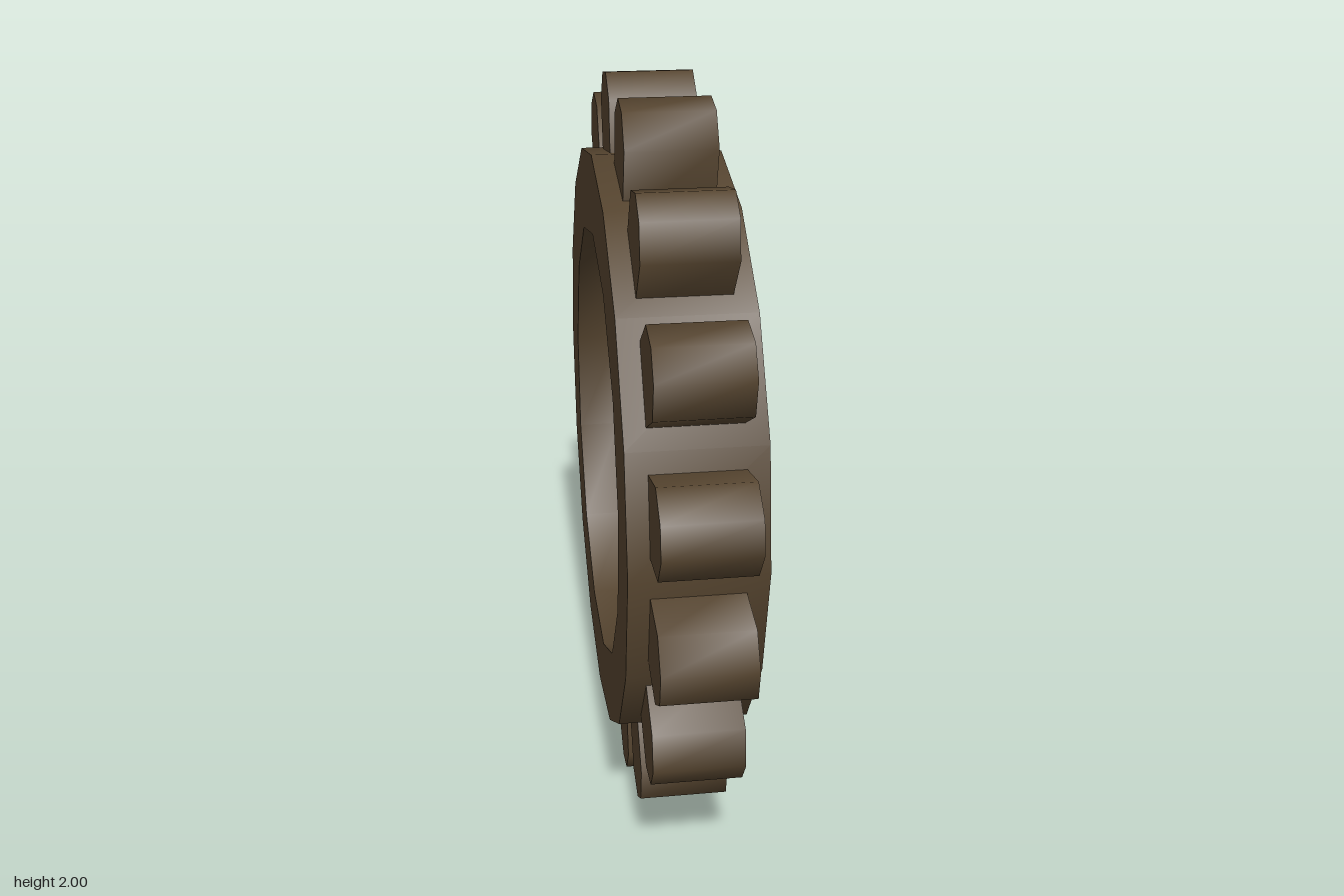
import * as THREE from 'three';
import { toCreasedNormals } from 'three/addons/utils/BufferGeometryUtils.js';

const TILT = THREE.MathUtils.degToRad(0.75); // slight turn of the whole wheel
const TEETH = 16;
const BACK = -0.175, FRONT = 0.17; // rim faces along the axle

// Corners of a regular polygon with one corner at the top.
function polygon(sides, radius, cy = 0) {
  return Array.from({ length: sides }, (_, i) => {
    const a = Math.PI / 2 + TILT + (i / sides) * Math.PI * 2;
    return new THREE.Vector2(radius * Math.cos(a), cy + radius * Math.sin(a));
  });
}

// Turned part about the z axis; profile is [radius, z] pairs.
function turned(profile, sides, cy = 0) {
  const points = profile.map(([r, z]) => new THREE.Vector2(r, z));
  const geo = new THREE.LatheGeometry(points, sides, Math.PI + TILT);
  geo.rotateX(Math.PI / 2).translate(0, cy, 0);
  return toCreasedNormals(geo, 0.55);
}

// Flat ring: many-sided outside, 13-sided opening.
function ringFace(holeRadius) {
  const shape = new THREE.Shape(polygon(TEETH, 0.815));
  shape.holes.push(new THREE.Path(polygon(13, holeRadius, -0.01).reverse()));
  return new THREE.ShapeGeometry(shape);
}

export function createModel() {
  const material = new THREE.MeshStandardMaterial({ color: 0x54432e });
  const wheel = new THREE.Group();
  wheel.name = 'gearWheel';
  const add = (name, geo, parent = wheel) => {
    const mesh = new THREE.Mesh(geo, material);
    mesh.name = name;
    parent.add(mesh);
    return mesh;
  };

  // Rim: outer wall and the two ring faces
  add('rimWall', turned([[0.815, BACK], [0.815, FRONT]], TEETH));
  add('rimOuterFace', ringFace(0.652).translate(0, 0, FRONT));
  add('rimInnerFace', ringFace(0.61).rotateY(Math.PI).scale(1, 1, 1).translate(0, 0, BACK));

  // Recesses: chamfered on the outer side, straight and deep on the inner side
  add('outerRecess', turned([[0.652, FRONT], [0.61, 0.115], [0.61, 0.06], [0, 0.06]], 13, -0.01));
  const innerRecess = turned([[0, -0.05], [0.61, -0.05], [0.61, BACK]], 13, -0.01);
  add('innerRecess', innerRecess);

  // Mirrored ring opening must meet the inner recess, so it is rebuilt facing backwards
  const innerFace = wheel.getObjectByName('rimInnerFace');
  const flipped = ringFace(0.61).translate(0, 0, BACK);
  const index = Array.from(flipped.index.array).reverse();
  flipped.setIndex(index);
  flipped.computeVertexNormals();
  innerFace.geometry = flipped;

  // Axle boss with a chamfered end
  add('axleBoss', turned([[0.15, 0.055], [0.15, 0.11], [0.115, 0.16], [0, 0.16]], 14));

  // Teeth: flared blocks with bevelled tips, set between the rim corners
  const half = [[0.1, 0.75], [0.112, 0.937], [0.043, 1.008]];
  const outline = [...half, ...half.map(([x, y]) => [-x, y]).reverse()];
  const toothShape = new THREE.Shape(outline.map(([x, y]) => new THREE.Vector2(x, y)));
  const extruded = new THREE.ExtrudeGeometry(toothShape, { depth: 0.235, bevelEnabled: false });
  const toothGeo = toCreasedNormals(extruded.translate(0, 0, -0.12), 1.0);
  const teeth = new THREE.Group();
  teeth.name = 'teeth';
  wheel.add(teeth);
  for (let i = 0; i < TEETH; i++) {
    add('tooth', toothGeo, teeth).rotation.z = TILT + ((i + 0.5) / TEETH) * Math.PI * 2;
  }

  // Stand the wheel upright with its axle along x
  wheel.rotation.y = Math.PI / 2;
  wheel.position.y = 1;
  const model = new THREE.Group();
  model.name = 'model';
  model.add(wheel);
  return model;
}
